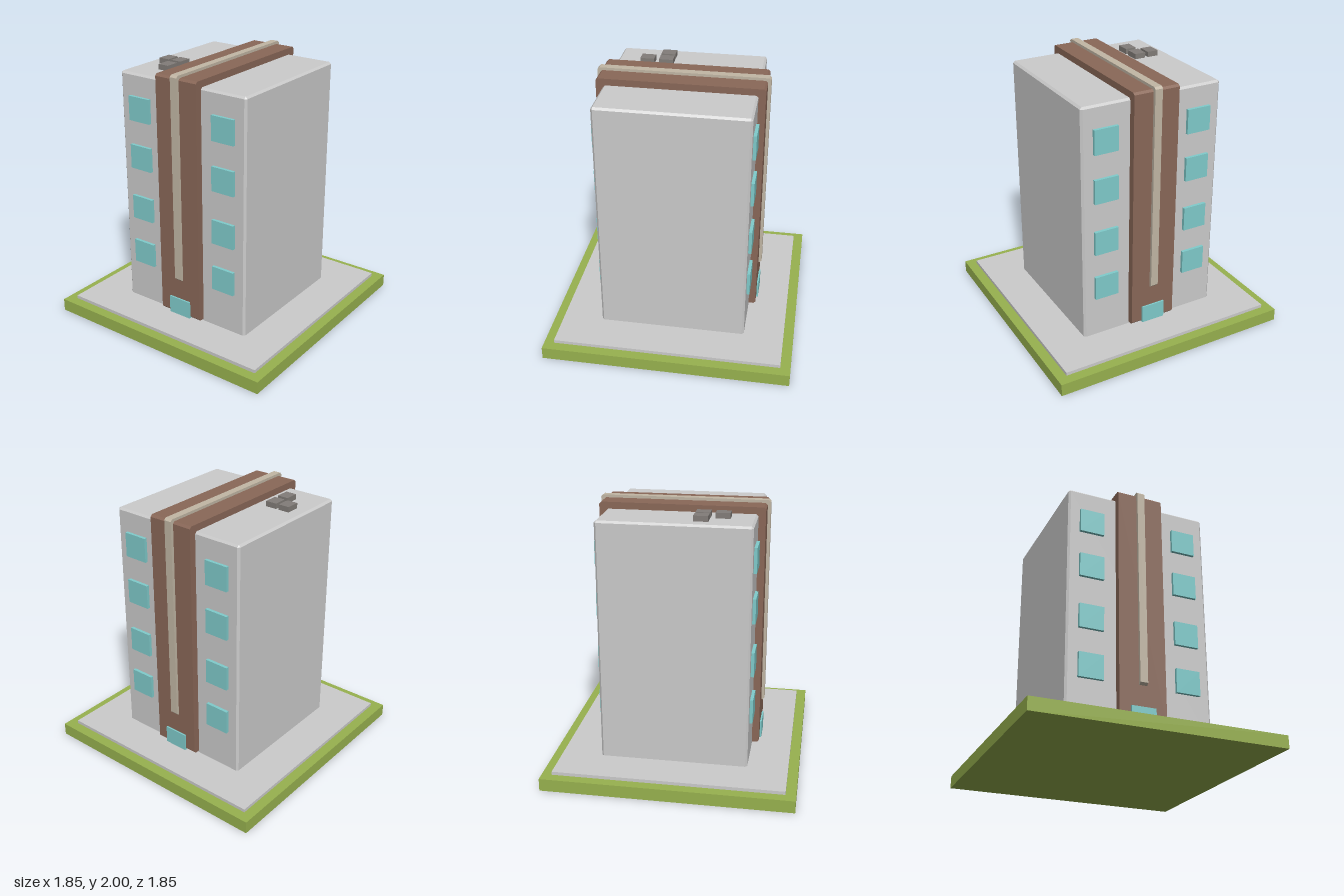
import * as THREE from 'three';
import { ConvexGeometry } from 'three/addons/geometries/ConvexGeometry.js';

const mat = (color) => new THREE.MeshStandardMaterial({ color, flatShading: true });
const grey = mat(0xcccccc), green = mat(0x98b24f), brown = mat(0x8a6858);
const beige = mat(0xc2b7a5), glass = mat(0x80cccc), dark = mat(0x827d79);

export function createModel() {
  const model = new THREE.Group();

  function add(name, geometry, material, x, y, z) {
    const mesh = new THREE.Mesh(geometry, material);
    mesh.name = name;
    mesh.position.set(x, y, z);
    model.add(mesh);
  }

  // Box given by its size, standing on height y
  function box(name, material, w, h, d, x, y, z) {
    add(name, new THREE.BoxGeometry(w, h, d), material, x, y + h / 2, z);
  }

  // Box with chamfered edges; bx = 0 leaves the edges of the side faces sharp
  function chamferBox(name, material, w, h, d, y, b, bx = b) {
    const points = [];
    for (const sx of [-1, 1]) for (const sy of [-1, 1]) for (const sz of [-1, 1]) {
      const [X, Y, Z] = [w / 2, h / 2, d / 2];
      const corners = [[X - bx, Y - b, Z], [X - bx, Y, Z - b]];
      if (bx) corners.push([X, Y - b, Z - b]);
      for (const [px, py, pz] of corners) points.push(new THREE.Vector3(sx * px, sy * py, sz * pz));
    }
    add(name, new ConvexGeometry(points), material, 0, y + h / 2, 0);
  }

  // Ground
  box('lawn', green, 1.85, 0.095, 1.85, 0, 0, 0);
  box('paving', grey, 1.7, 0.025, 1.7, 0, 0.095, 0);

  // Tower, with its lower chamfer sunk into the paving
  chamferBox('tower', grey, 1.1, 1.83, 1.1, 0.1, 0.015);

  // Central bands wrapping over the roof
  chamferBox('centralBand', brown, 0.355, 1.845, 1.205, 0.135, 0.015, 0);
  chamferBox('trimStrip', beige, 0.058, 1.57, 1.25, 0.43, 0.015, 0);

  // Windows and doors on the front and back
  for (const side of [1, -1]) {
    const face = side > 0 ? 'front' : 'back';
    for (const x of [-0.37, 0.37])
      for (const y of [0.435, 0.805, 1.21, 1.58])
        box(face + 'Window', glass, 0.186, 0.184, 0.06, x, y, side * 0.543);
    box(face + 'Door', glass, 0.186, 0.135, 0.06, 0, 0.135, side * 0.585);
  }

  // Roof units
  for (const [x, z] of [[-0.412, 0.178], [-0.303, 0.178], [-0.303, 0.318]])
    box('roofUnit', dark, 0.086, 0.05, 0.105, x, 1.92, z);

  return model;
}
